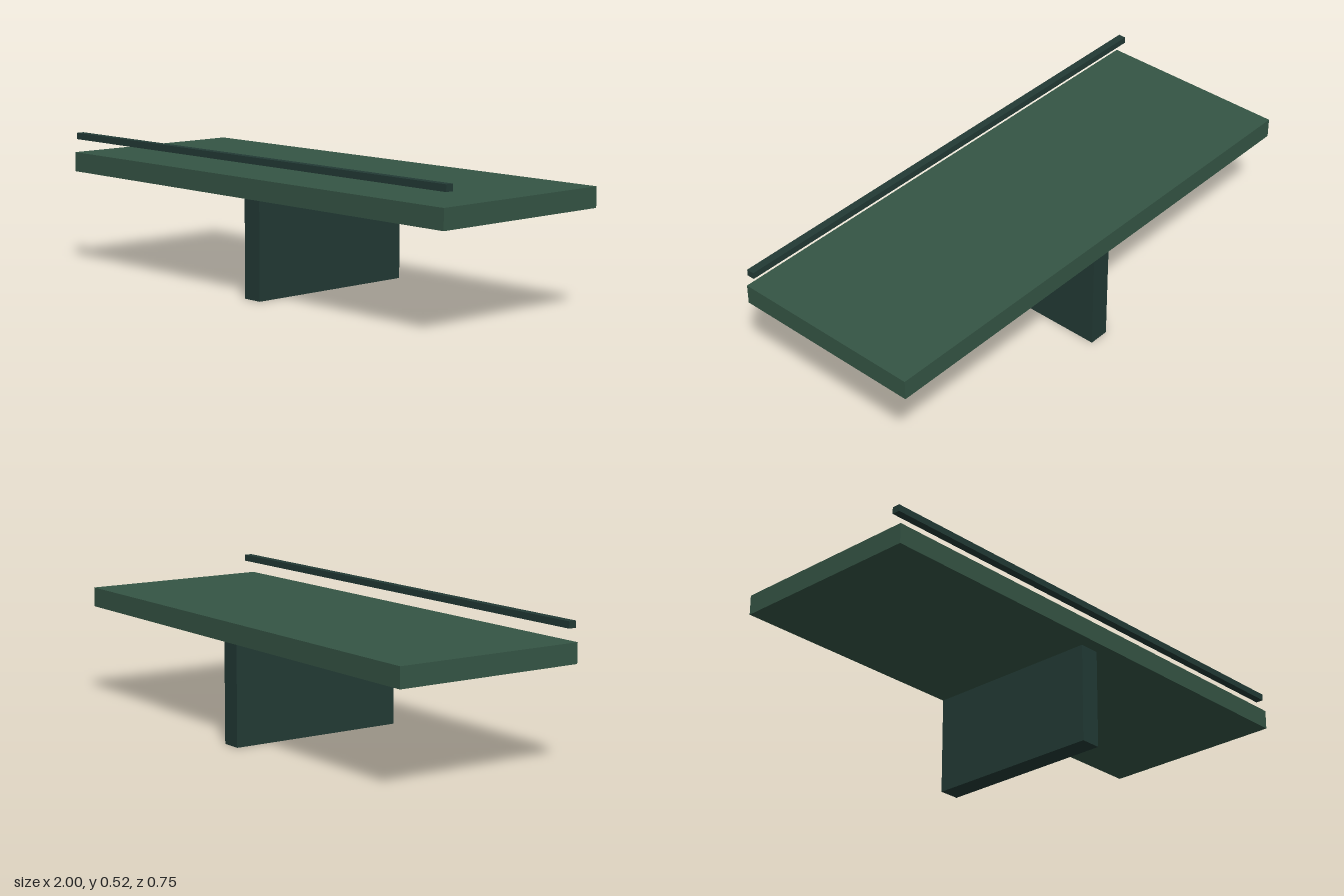
import * as THREE from 'three';

export function createModel() {
  const group = new THREE.Group();
  const green = new THREE.MeshStandardMaterial({ color: 0x355545 });
  green.name = 'green';
  const darkGreen = new THREE.MeshStandardMaterial({ color: 0x223a35 });
  darkGreen.name = 'dark green';

  // Box given by its size and the centre of its underside
  const addBox = (name, material, [w, h, d], [x, y, z]) => {
    const mesh = new THREE.Mesh(new THREE.BoxGeometry(w, h, d), material);
    mesh.name = name;
    mesh.position.set(x, y + h / 2, z);
    group.add(mesh);
  };

  // Upright support, flush with the back of the shelf
  addBox('support', darkGreen, [0.08, 0.375, 0.7], [0, 0, -0.025]);
  // Shelf board
  addBox('shelf', green, [2, 0.075, 0.75], [0, 0.375, 0]);
  // Thin rail floating above the front edge
  addBox('frontRail', darkGreen, [2, 0.025, 0.03], [0, 0.5, 0.35]);

  return group;
}
